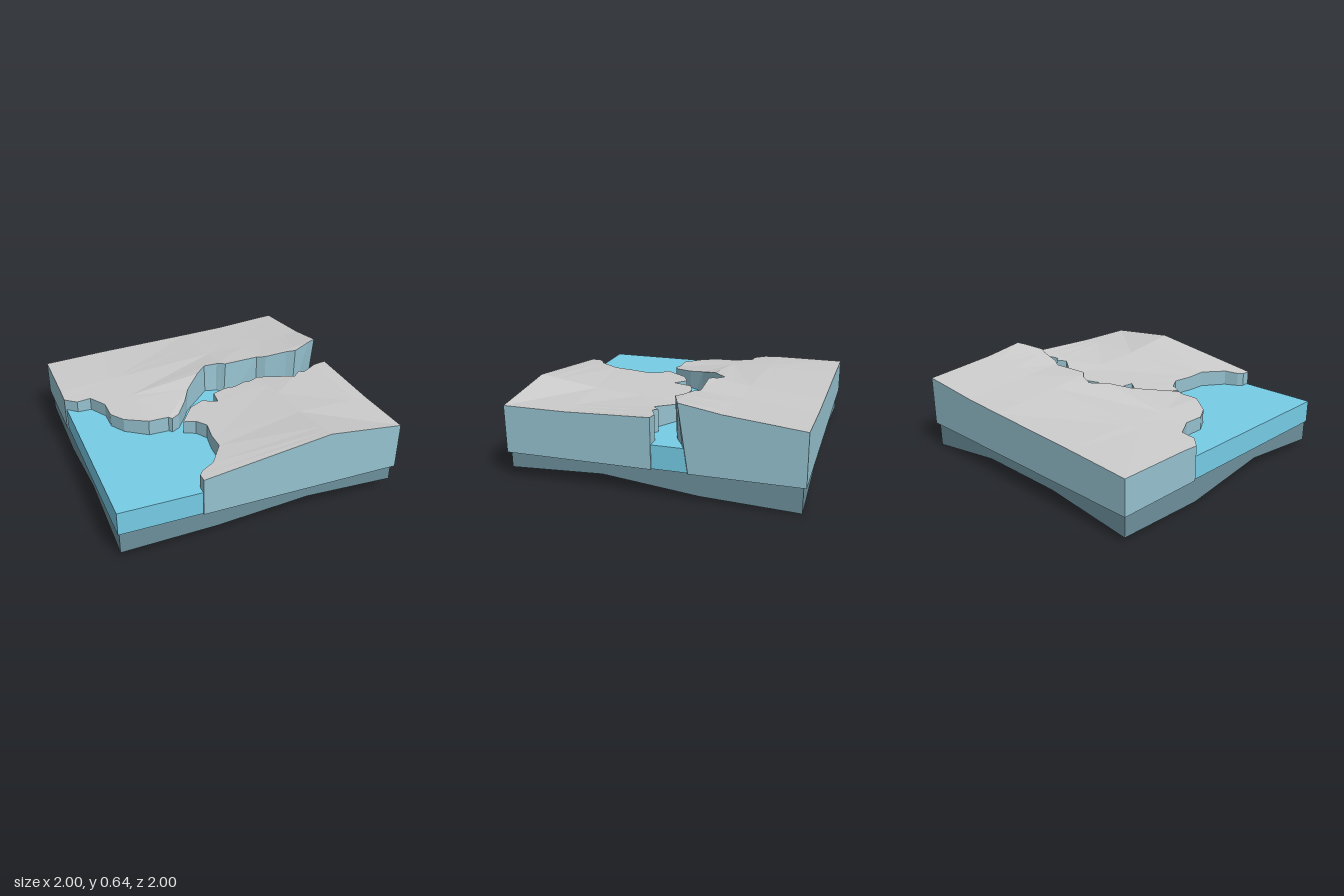
import * as THREE from 'three';

const FLOOR = 0.18, WATER = 0.345;
const material = (color) => new THREE.MeshStandardMaterial({ color, flatShading: true });

// Bilinear height from a coarse grid: xs columns, zs rows, h[row][column]
function heightAt({ xs, zs, h }, x, z) {
  const find = (a, v) => {
    let i = 0;
    while (i < a.length - 2 && v > a[i + 1]) i++;
    return [i, THREE.MathUtils.clamp((v - a[i]) / (a[i + 1] - a[i]), 0, 1)];
  };
  const [i, u] = find(xs, x), [j, v] = find(zs, z), mix = THREE.MathUtils.lerp;
  return mix(mix(h[j][i], h[j][i + 1], u), mix(h[j + 1][i], h[j + 1][i + 1], u), v);
}

// Keep the part of a convex polygon where sign * (p[axis] - limit) <= 0
function clip(poly, axis, limit, sign) {
  const out = [];
  poly.forEach((a, i) => {
    const b = poly[(i + 1) % poly.length];
    const da = sign * (a[axis] - limit), db = sign * (b[axis] - limit);
    if (da <= 0) out.push(a);
    if (da * db < 0) out.push(a.clone().lerp(b, da / (da - db)));
  });
  return out;
}

function meshFrom(name, positions, mat) {
  const geo = new THREE.BufferGeometry();
  geo.setAttribute('position', new THREE.Float32BufferAttribute(positions, 3));
  geo.computeVertexNormals();
  const mesh = new THREE.Mesh(geo, mat);
  mesh.name = name;
  return mesh;
}

// Land block: faceted top, cliff walls and flat underside.
// Outline points are [x, z] or [x, z, footX, footZ] where the cliff leans.
function land(name, outline, grid, topMat, wallMat) {
  let pts = outline.map(([x, z, fx = x, fz = z]) => ({ top: new THREE.Vector2(x, z), foot: new THREE.Vector2(fx, fz) }));
  if (THREE.ShapeUtils.area(pts.map((p) => p.top)) < 0) pts = pts.reverse();
  const tops = pts.map((p) => p.top), feet = pts.map((p) => p.foot);
  const up = (p) => [p.x, heightAt(grid, p.x, p.y), p.y];
  const low = (p) => [p.x, FLOOR, p.y];
  const top = [], wall = [];

  // Top, cut along the grid so that each cell has its own slope
  for (const f of THREE.ShapeUtils.triangulateShape(tops, [])) {
    const tri = f.map((i) => tops[i]);
    for (let i = 0; i < grid.xs.length - 1; i++) {
      for (let j = 0; j < grid.zs.length - 1; j++) {
        let poly = clip(tri, 'x', grid.xs[i], -1);
        poly = clip(poly, 'x', grid.xs[i + 1], 1);
        poly = clip(poly, 'y', grid.zs[j], -1);
        poly = clip(poly, 'y', grid.zs[j + 1], 1);
        if (poly.length < 3) continue;
        if (THREE.ShapeUtils.area(poly) > 0) poly.reverse();
        for (let k = 1; k < poly.length - 1; k++) top.push(...up(poly[0]), ...up(poly[k]), ...up(poly[k + 1]));
      }
    }
  }

  // Walls, split where the outline crosses a grid line
  pts.forEach((a, i) => {
    const b = pts[(i + 1) % pts.length], cuts = [0, 1];
    for (const [axis, lines] of [['x', grid.xs], ['y', grid.zs]]) {
      for (const l of lines) {
        const t = (l - a.top[axis]) / (b.top[axis] - a.top[axis]);
        if (t > 0.001 && t < 0.999) cuts.push(t);
      }
    }
    cuts.sort((s, t) => s - t);
    for (let k = 0; k < cuts.length - 1; k++) {
      const at = (key, t) => a[key].clone().lerp(b[key], t);
      const a1 = up(at('top', cuts[k])), b1 = up(at('top', cuts[k + 1]));
      const a0 = low(at('foot', cuts[k])), b0 = low(at('foot', cuts[k + 1]));
      wall.push(...b0, ...a0, ...a1, ...b0, ...a1, ...b1);
    }
  });

  // Underside
  for (const f of THREE.ShapeUtils.triangulateShape(feet, [])) {
    const tri = f.map((i) => feet[i]);
    if (THREE.ShapeUtils.area(tri) < 0) tri.reverse();
    tri.forEach((p) => wall.push(...low(p)));
  }

  const group = new THREE.Group();
  group.name = name;
  group.add(meshFrom(name + 'Surface', top, topMat), meshFrom(name + 'Cliffs', wall, wallMat));
  return group;
}

export function createModel() {
  const model = new THREE.Group();
  model.name = 'terrainTile';
  const ground = material(0xcccccc), cliff = material(0x96c2d0);
  const waterMat = material(0x76cce6), rock = material(0x6c8f9b);

  // Northern land with its leaning river bank
  const northBank = [
    [-1, -1], [-1, -0.36], [-0.92, -0.285], [-0.82, -0.285], [-0.745, -0.15], [-0.745, 0],
    [-0.68, 0.11], [-0.53, 0.22], [-0.385, 0.22], [-0.365, 0.245], [-0.305, 0.21],
    [-0.21, 0.08], [-0.14, -0.04, -0.1, -0.04], [0.08, -0.265, 0.07, -0.21],
    [0.17, -0.235, 0.15, -0.2], [0.225, -0.185, 0.2, -0.165], [0.5, -0.205],
    [0.56, -0.17], [0.73, -0.14, 0.73, -0.15], [0.79, -0.115, 0.79, -0.13],
    [1, -0.195, 1, -0.26], [1, -1],
  ];
  model.add(land('northLand', northBank, {
    xs: [-1, -0.53, 0.2, 0.52, 1],
    zs: [-1, -0.48, -0.17, 0.25],
    h: [
      [0.43, 0.455, 0.485, 0.50, 0.54],
      [0.43, 0.47, 0.53, 0.55, 0.595],
      [0.415, 0.465, 0.575, 0.575, 0.648],
      [0.41, 0.455, 0.45, 0.57, 0.65],
    ],
  }, ground, cliff));

  // Southern land
  const southBank = [
    [1, 1], [-0.43, 1], [-0.43, 0.935], [-0.4, 0.9], [-0.31, 0.855], [-0.2, 0.695], [-0.195, 0.55],
    [-0.17, 0.41], [-0.22, 0.325], [-0.3, 0.29], [-0.18, 0.12], [-0.07, 0.065], [0.03, 0.13],
    [0.05, 0], [0.16, 0.04 - 0.08], [0.23, -0.03], [0.33, -0.07], [0.37, -0.06], [0.46, -0.1],
    [0.7, 0.06], [0.76, 0.01], [0.79, 0.04], [0.91, -0.015], [1, -0.015],
  ];
  model.add(land('southLand', southBank, {
    xs: [-0.5, 0.46, 1],
    zs: [-0.1, 0.57, 1],
    h: [
      [0.42, 0.455, 0.533],
      [0.43, 0.505, 0.51],
      [0.435, 0.568, 0.51],
    ],
  }, ground, cliff));

  // Lake and river
  const water = new THREE.Mesh(new THREE.BoxGeometry(1.98, WATER - FLOOR - 0.002, 1.98), waterMat);
  water.name = 'water';
  water.position.y = (WATER + FLOOR + 0.002) / 2;
  model.add(water);

  // Rock slab with an uneven underside: rows run from back to front
  const under = [
    [0.03, 0.1, 0.1, 0.003],
    [0.01, 0.06, 0.1, 0.03],
    [0.1, 0.1, 0.1, 0.1],
    [0.035, 0.05, 0.1, 0.07],
  ];
  const slabGeo = new THREE.BoxGeometry(1.96, 1, 1.96, 3, 1, 3);
  const p = slabGeo.attributes.position;
  const cell = (v) => Math.round((v / 1.96 + 0.5) * 3);
  for (let i = 0; i < p.count; i++) {
    p.setY(i, p.getY(i) > 0 ? FLOOR + 0.003 : under[cell(p.getZ(i))][cell(p.getX(i))] - 0.003);
  }
  const slab = new THREE.Mesh(slabGeo.toNonIndexed(), rock);
  slab.geometry.computeVertexNormals();
  slab.name = 'rockSlab';
  model.add(slab);

  return model;
}
